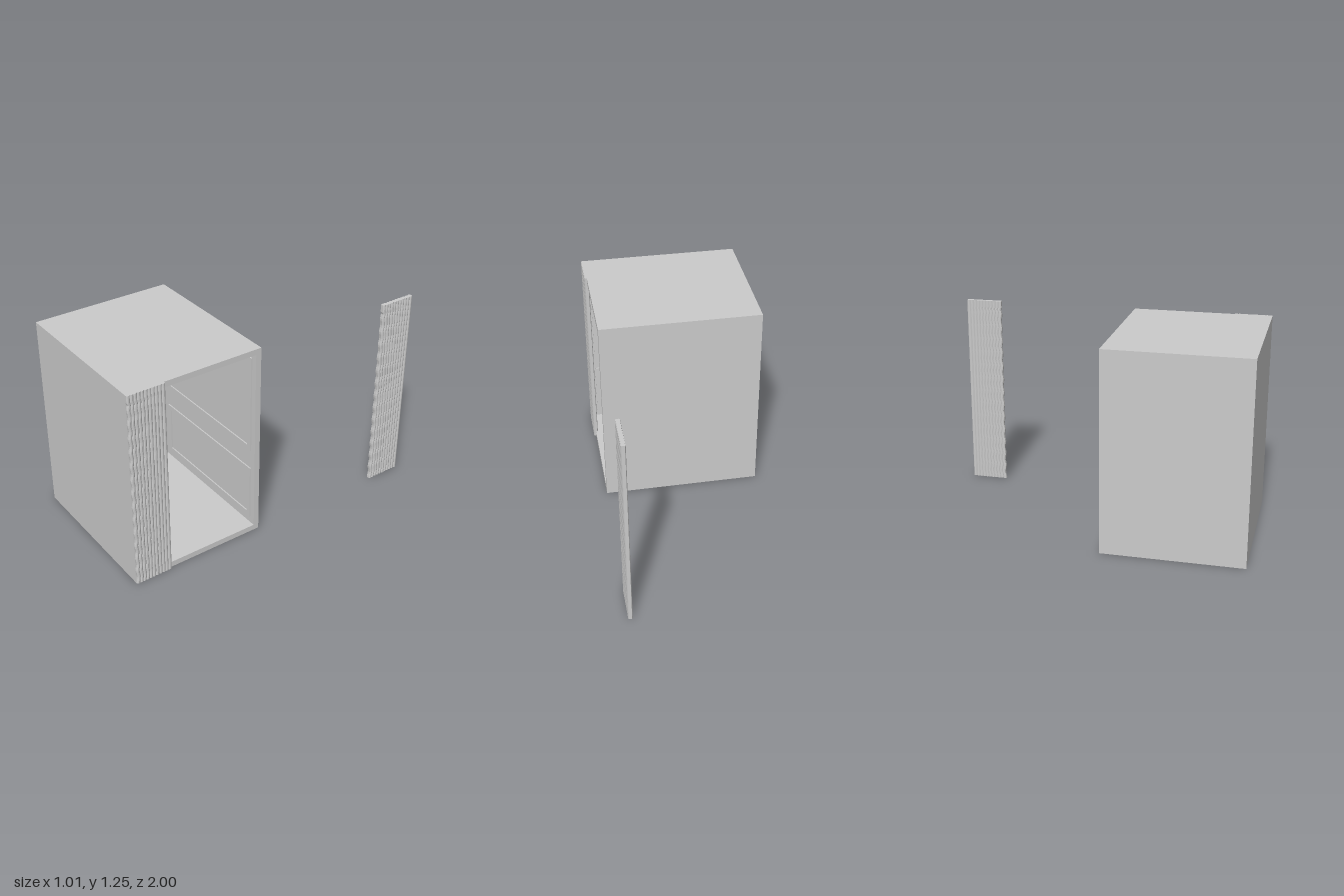
import * as THREE from 'three';

const material = new THREE.MeshStandardMaterial({ color: 0xcccccc, flatShading: true, side: THREE.DoubleSide });

function add(group, name, geometry, x = 0, y = 0, z = 0) {
  const mesh = new THREE.Mesh(geometry, material);
  mesh.name = name;
  mesh.position.set(x, y, z);
  group.add(mesh);
  return mesh;
}

// Box given by its limits on each axis
function slab(group, name, [x0, x1], [y0, y1], [z0, z1]) {
  add(group, name, new THREE.BoxGeometry(x1 - x0, y1 - y0, z1 - z0),
    (x0 + x1) / 2, (y0 + y1) / 2, (z0 + z1) / 2);
}

// Rectangular moulding with an open middle
function mouldingGeometry(width, height, bar, depth) {
  const rect = (Type, w, h) => new Type([[-w, -h], [w, -h], [w, h], [-w, h]]
    .map(([x, y]) => new THREE.Vector2(x / 2, y / 2)));
  const shape = rect(THREE.Shape, width, height);
  shape.holes.push(rect(THREE.Path, width - 2 * bar, height - 2 * bar));
  return new THREE.ExtrudeGeometry(shape, { depth, bevelEnabled: false });
}

// Pleated curtain: scalloped section drawn up in y, one edge rippling between rows
function curtainGeometry(length, height, folds) {
  const side = [];
  const n = folds * 6;
  for (let i = 0; i <= n; i++) {
    const t = i / n;
    side.push([0.009 + 0.005 * Math.abs(Math.sin(t * folds * Math.PI)), t * length]);
  }
  const outline = [
    ...side.map(([x, z]) => new THREE.Vector2(x, z)),
    ...side.reverse().map(([x, z]) => new THREE.Vector2(-x, z)),
  ];
  const geometry = new THREE.ExtrudeGeometry(new THREE.Shape(outline),
    { depth: height, steps: 84, bevelEnabled: false });
  geometry.rotateX(-Math.PI / 2);
  const p = geometry.attributes.position;
  for (let i = 0; i < p.count; i++) {
    const y = p.getY(i);
    const t = -p.getZ(i) / length;
    // t = 0 is the +z edge; the header above 1.2 stays straight
    if (y < 1.2) p.setZ(i, p.getZ(i) - 0.003 * (1 - t) * (1 - Math.cos(y / 0.089 * Math.PI * 2)));
  }
  geometry.computeVertexNormals();
  return geometry;
}

export function createModel() {
  const model = new THREE.Group();
  model.name = 'curtainedCompartment';

  // Cabin shell, open on the +x side
  const shell = new THREE.Group();
  shell.name = 'shell';
  model.add(shell);
  const X = [-0.505, 0.49], Y = [0, 1.25], Z = [0.13, 1], wall = 0.035;
  const innerY = [wall, 1.25 - wall], innerZ = [Z[0] + wall, Z[1] - wall];
  slab(shell, 'floor', X, [0, wall], Z);
  slab(shell, 'ceiling', X, [1.25 - wall, 1.25], Z);
  slab(shell, 'backWall', X, innerY, [Z[0], innerZ[0]]);
  slab(shell, 'frontWall', X, innerY, [innerZ[1], Z[1]]);
  slab(shell, 'leftoverSideWall', [X[0], X[0] + wall], innerY, innerZ);
  shell.children[4].name = 'farSideWall';

  // Raised panel mouldings on the inside of the back and front walls
  for (const [y0, y1] of [[0.08, 0.435], [0.56, 1.18]]) {
    const geometry = mouldingGeometry(0.89, y1 - y0, 0.03, 0.008);
    add(model, 'backPanelMoulding', geometry, 0.01, (y0 + y1) / 2, innerZ[0]);
    add(model, 'frontPanelMoulding', geometry, 0.01, (y0 + y1) / 2, innerZ[1] - 0.008);
  }

  // One curtain at the opening, its partner standing apart behind
  const curtain = curtainGeometry(0.235, 1.25, 11);
  add(model, 'frontCurtain', curtain, 0.491, 0, 1);
  add(model, 'rearCurtain', curtain, 0.489, 0, -0.765);

  return model;
}
